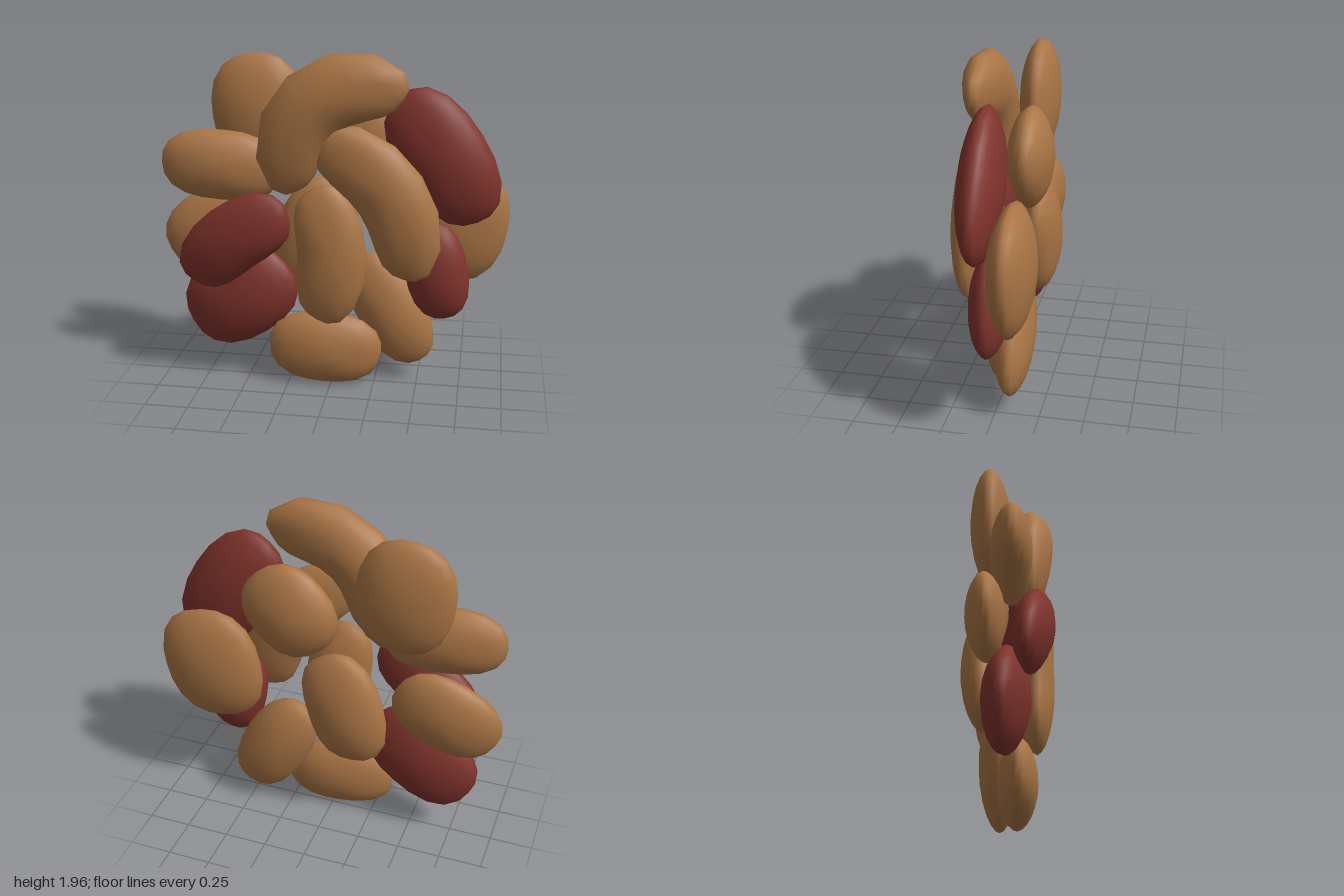
import * as THREE from 'three';
import { mergeVertices } from 'three/addons/utils/BufferGeometryUtils.js';

const tan = new THREE.MeshStandardMaterial({ color: 0xaa7545 });
tan.name = 'tan';
const maroon = new THREE.MeshStandardMaterial({ color: 0x80332c });
maroon.name = 'maroon';

// A lens-edged bean: half length, half width, half thickness, bent along an arc of curvature k
function beanGeometry(length, width, thickness, k) {
  const geo = new THREE.SphereGeometry(1, 20, 12).rotateX(Math.PI / 2);
  geo.deleteAttribute('uv');
  geo.deleteAttribute('normal');
  const p = geo.attributes.position;
  const curve = Math.abs(k) < 0.01 ? 0.01 : k;
  const R = 1 / curve;
  const n = 2.4 + 0.35 * Math.min(1.5, Math.abs(k)); // bent beans have blunter ends
  for (let i = 0; i < p.count; i++) {
    const x = p.getX(i), y = p.getY(i), z = p.getZ(i);
    // squared outline
    const r = Math.hypot(x, y);
    const q = Math.pow(Math.pow(Math.abs(x), n) + Math.pow(Math.abs(y), n), 1 / n);
    const s = q > 1e-5 ? r / q : 1;
    const u = x * s * length, v = y * s * width;
    p.setXYZ(i,
      (R - v) * Math.sin(curve * u),
      R - (R - v) * Math.cos(curve * u),
      Math.sign(z) * Math.pow(Math.abs(z), 1.15) * thickness);
  }
  const merged = mergeVertices(geo, 1e-4);
  merged.computeVertexNormals();
  return merged;
}

// name, material, centre x y z, angle in degrees, half length, half width, half thickness,
// bend, forward tilt of the far end in radians
const beans = [
  ['topFrontBean', tan, -0.09, 1.68, 0.13, 42, 0.535, 0.205, 0.13, -2.45, 0],
  ['middleFrontBean', tan, 0.345, 1.195, 0.145, -56, 0.51, 0.205, 0.107, -1.7, 0],
  ['centreFrontBean', tan, 0.02, 0.83, 0.15, 92, 0.405, 0.197, 0.105, 1.3, 0],
  ['leftFrontMaroonBean', maroon, -0.55, 0.905, 0.155, 38, 0.375, 0.2, 0.107, -1, 0.1],
  ['lowerLeftMaroonBean', maroon, -0.545, 0.51, 0.01, 35, 0.355, 0.27, 0.125, 0.3, 0.06],
  ['upperRightMaroonBean', maroon, 0.625, 1.392, 0.035, -57, 0.415, 0.245, 0.12, -0.4, 0],
  ['lowerRightMaroonBean', maroon, 0.6, 0.72, 0.005, 101, 0.295, 0.18, 0.11, 0, 0],
  ['leftBean', tan, -0.63, 1.305, 0.04, -4, 0.345, 0.205, 0.115, -0.3, -0.05],
  ['upperLeftBackBean', tan, -0.43, 1.59, -0.08, 98, 0.34, 0.275, 0.115, 0, 0],
  ['leftBackBean', tan, -0.7, 0.9, -0.09, 28, 0.32, 0.235, 0.105, 0, -0.08],
  ['upperBackBean', tan, 0.2, 1.42, -0.14, 50, 0.28, 0.255, 0.125, 0, 0],
  ['rightBackBean', tan, 0.69, 0.97, -0.135, 80, 0.355, 0.305, 0.125, 0, 0],
  ['centreBackBean', tan, -0.125, 0.85, -0.145, 75, 0.355, 0.23, 0.12, -0.6, 0],
  ['lowerRightBackBean', tan, 0.33, 0.44, -0.08, -61, 0.37, 0.2, 0.115, 0, 0],
  ['bottomBean', tan, -0.035, 0.225, 0.045, -4, 0.33, 0.22, 0.112, -0.2, -0.06],
];

export function createModel() {
  const group = new THREE.Group();
  group.name = 'beanCluster';
  for (const [name, material, x, y, z, angle, length, width, thickness, bend, tilt] of beans) {
    const mesh = new THREE.Mesh(beanGeometry(length, width, thickness, bend), material);
    mesh.name = name;
    mesh.position.set(x, y, z);
    // tilt first, then turn in the front plane
    mesh.rotation.set(0, -tilt, THREE.MathUtils.degToRad(angle), 'ZYX');
    group.add(mesh);
  }
  return group;
}
